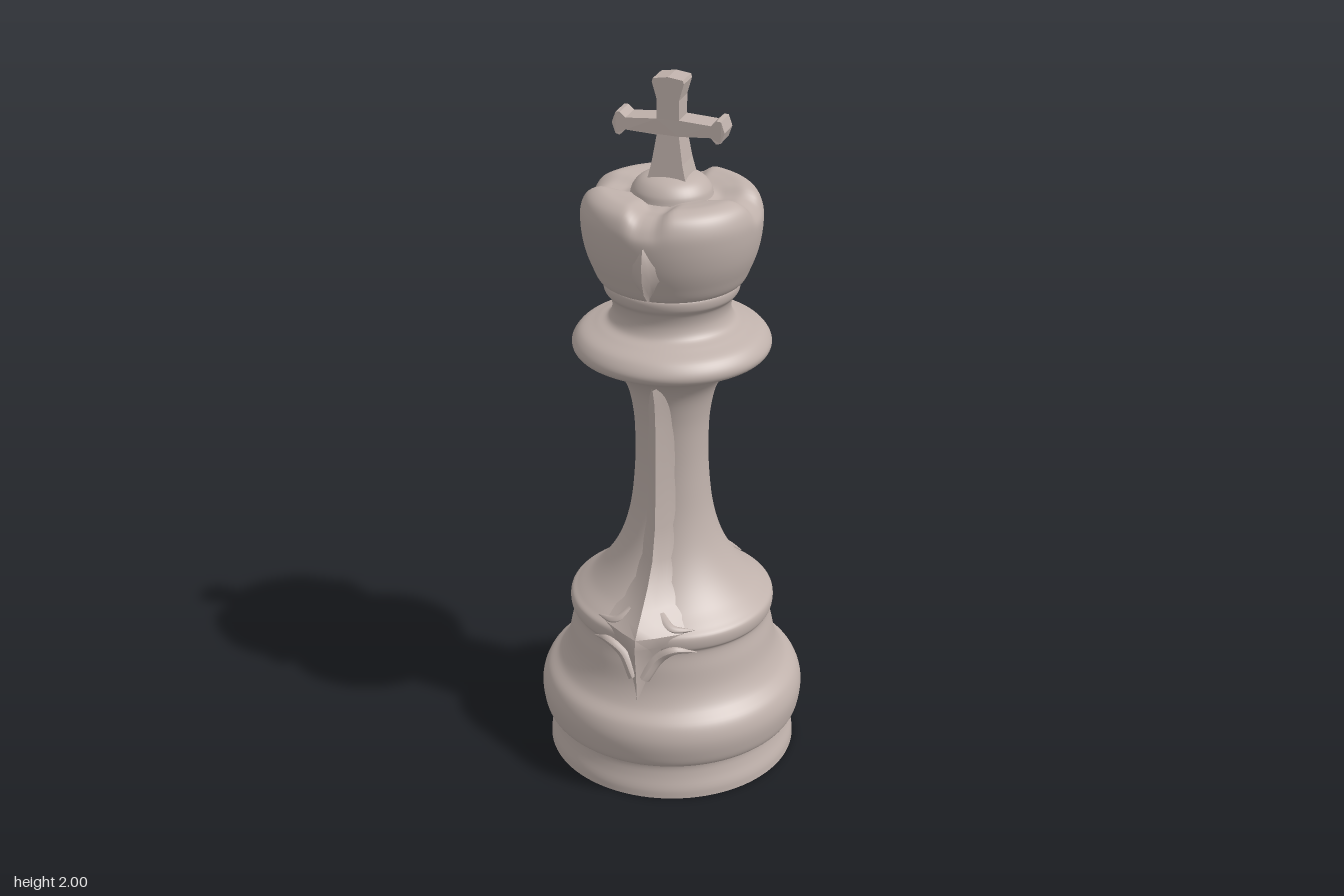
import * as THREE from 'three';
import { toCreasedNormals } from 'three/addons/utils/BufferGeometryUtils.js';

const stone = new THREE.MeshStandardMaterial({ color: 0xbfb1ab, side: THREE.DoubleSide });
stone.name = 'warm grey stone';

// Smooth profile from a few [radius, height] points
function profile(points, samples) {
  const curve = new THREE.CatmullRomCurve3(points.map(([r, y]) => new THREE.Vector3(r, y, 0)), false, 'centripetal');
  return curve.getPoints(samples).map(p => new THREE.Vector2(Math.max(p.x, 0), p.y));
}

// Radius of a profile at height y
function radiusAt(pts, y) {
  for (let i = 1; i < pts.length; i++) {
    const a = pts[i - 1], b = pts[i];
    if (y >= a.y && y <= b.y && b.y > a.y) return a.x + (b.x - a.x) * (y - a.y) / (b.y - a.y);
  }
  return pts[pts.length - 1].x;
}

function part(geometry, name) {
  const mesh = new THREE.Mesh(geometry, stone);
  mesh.name = name;
  return mesh;
}

// Raised ridge lying on a turned surface; rows are [height, half width, crest depth]
function ridge(rows, pts) {
  const pos = [], index = [], n = 7;
  for (const [y, w, crest] of rows) {
    const R = radiusAt(pts, y);
    for (let j = 0; j < n; j++) {
      const t = j / (n - 1) * 2 - 1, x = t * w;
      const surface = Math.sqrt(Math.max(R * R - x * x, 0)) - 0.006;
      const lift = Math.pow(1 - Math.abs(t), 1.25);
      pos.push(x, y, surface + Math.max(crest - R + 0.006, 0) * lift);
    }
  }
  for (let i = 0; i < rows.length - 1; i++) for (let j = 0; j < n - 1; j++) {
    const a = i * n + j, b = a + n;
    index.push(a, a + 1, b, a + 1, b + 1, b);
  }
  const g = new THREE.BufferGeometry();
  g.setAttribute('position', new THREE.Float32BufferAttribute(pos, 3));
  g.setIndex(index);
  g.computeVertexNormals();
  return toCreasedNormals(g, 0.6);
}

// Tapering leaf swept over a turned surface through [x, y] points
function leaf(path, pts, size) {
  const curve = new THREE.CatmullRomCurve3(path.map(([x, y]) => {
    const R = radiusAt(pts, y) + 0.004;
    return new THREE.Vector3(x, y, Math.sqrt(R * R - x * x));
  }));
  const seg = 20, sides = 8;
  const g = new THREE.TubeGeometry(curve, seg, size, sides, false);
  const p = g.attributes.position, v = new THREE.Vector3(), c = new THREE.Vector3();
  for (let i = 0; i < p.count; i++) {
    const t = Math.floor(i / (sides + 1)) / seg;
    curve.getPointAt(t, c);
    v.fromBufferAttribute(p, i).sub(c).multiplyScalar(1 - 0.95 * t * t).add(c);
    p.setXYZ(i, v.x, v.y, v.z);
  }
  g.computeVertexNormals();
  return g;
}

export function createModel() {
  const king = new THREE.Group();
  king.name = 'chessKing';

  // Foot disc
  const foot = profile([[0.355, 0], [0.353, 0.025], [0.342, 0.06], [0.337, 0.09], [0.342, 0.115]], 16);
  king.add(part(new THREE.LatheGeometry([new THREE.Vector2(0, 0), new THREE.Vector2(0.355, 0)], 96), 'underside'));
  king.add(part(new THREE.LatheGeometry(foot, 96), 'foot'));

  // Swelling base, waisted column and collar
  const body = profile([
    [0.34, 0.105], [0.362, 0.115], [0.374, 0.155], [0.375, 0.2], [0.36, 0.24], [0.325, 0.275],
    [0.302, 0.32], [0.288, 0.38], [0.278, 0.435], [0.287, 0.45], [0.287, 0.483], [0.268, 0.5],
    [0.225, 0.535], [0.18, 0.59], [0.143, 0.66], [0.117, 0.75], [0.104, 0.86], [0.101, 0.96],
    [0.107, 1.06], [0.127, 1.14], [0.165, 1.19], [0.225, 1.225], [0.265, 1.245], [0.27, 1.265],
    [0.25, 1.295], [0.205, 1.315], [0.172, 1.33], [0.16, 1.36], [0.166, 1.395], [0.181, 1.415],
    [0.183, 1.44], [0.172, 1.45]], 180);
  king.add(part(new THREE.LatheGeometry(body, 96), 'bodyAndCollar'));

  // Puffed crown, its top pressed down into four valleys
  const crownPts = profile([
    [0.17, 1.44], [0.193, 1.447], [0.215, 1.49], [0.232, 1.54], [0.241, 1.6], [0.239, 1.645],
    [0.222, 1.68], [0.19, 1.697], [0.15, 1.695], [0.1, 1.688], [0, 1.688]], 60);
  const crown = new THREE.LatheGeometry(crownPts, 128);
  const p = crown.attributes.position;
  for (let i = 0; i < p.count; i++) {
    const x = p.getX(i), y = p.getY(i), z = p.getZ(i);
    const valley = Math.exp(-Math.pow(Math.min(Math.abs(x), Math.abs(z)) / 0.045, 4));
    const high = THREE.MathUtils.smoothstep(y, 1.6, 1.69);
    const outer = THREE.MathUtils.smoothstep(Math.hypot(x, z), 0.08, 0.14);
    const pull = 1 - 0.02 * valley * high;
    p.setXYZ(i, x * pull, y - 0.022 * valley * high * outer, z * pull);
  }
  crown.computeVertexNormals();
  king.add(part(crown, 'crown'));

  // Small dome under the cross
  const dome = profile([[0.11, 1.68], [0.104, 1.7], [0.085, 1.722], [0.055, 1.735], [0, 1.742]], 20);
  king.add(part(new THREE.LatheGeometry(dome, 48), 'crownDome'));

  // Cross with flared ends, thickening towards its root
  const right = [[0.054, 1.72], [0.042, 1.77], [0.03, 1.845], [0.115, 1.85], [0.13, 1.835], [0.142, 1.838],
    [0.152, 1.866], [0.142, 1.895], [0.13, 1.896], [0.115, 1.882], [0.03, 1.888], [0.03, 1.94], [0.043, 1.985], [0.04, 1.994]];
  const outline = [...right, [0, 2], ...right.slice().reverse().map(([x, y]) => [-x, y])];
  const cross = new THREE.ExtrudeGeometry(new THREE.Shape(outline.map(([x, y]) => new THREE.Vector2(x, y))),
    { depth: 0.07, bevelEnabled: false });
  cross.translate(0, 0, -0.035);
  const cp = cross.attributes.position;
  for (let i = 0; i < cp.count; i++) {
    cp.setZ(i, cp.getZ(i) * (1 + 0.4 * THREE.MathUtils.clamp((1.85 - cp.getY(i)) / 0.13, 0, 1)));
  }
  cross.computeVertexNormals();
  king.add(part(cross, 'cross'));

  // Ornaments repeated on front and back
  for (const [side, turn] of [['front', 0], ['back', Math.PI]]) {
    const ornament = new THREE.Group();
    ornament.name = side + 'Ornament';
    ornament.rotation.y = turn;
    ornament.add(part(ridge([
      [0.29, 0.002, 0.317], [0.33, 0.018, 0.32], [0.38, 0.036, 0.323], [0.43, 0.058, 0.33],
      [0.465, 0.095, 0.333], [0.495, 0.14, 0.328], [0.52, 0.115, 0.305], [0.55, 0.085, 0.272],
      [0.6, 0.062, 0.22], [0.66, 0.052, 0.177], [0.75, 0.048, 0.153], [0.9, 0.045, 0.144],
      [1.05, 0.04, 0.145], [1.13, 0.032, 0.152], [1.18, 0.01, 0.168]], body), 'columnRidge'));
    for (const s of [-1, 1]) {
      ornament.add(part(leaf([[s * 0.012, 0.36], [s * 0.05, 0.42], [s * 0.095, 0.45], [s * 0.15, 0.435]], body, 0.02), 'lowerLeaf'));
      ornament.add(part(leaf([[s * 0.04, 0.53], [s * 0.08, 0.505], [s * 0.14, 0.5]], body, 0.016), 'upperLeaf'));
    }
    ornament.add(part(ridge([
      [1.445, 0.003, 0.2], [1.48, 0.024, 0.235], [1.52, 0.052, 0.251], [1.56, 0.045, 0.255],
      [1.59, 0.022, 0.251], [1.61, 0.006, 0.245]], crownPts), 'crownDiamond'));
    king.add(ornament);
  }
  return king;
}
